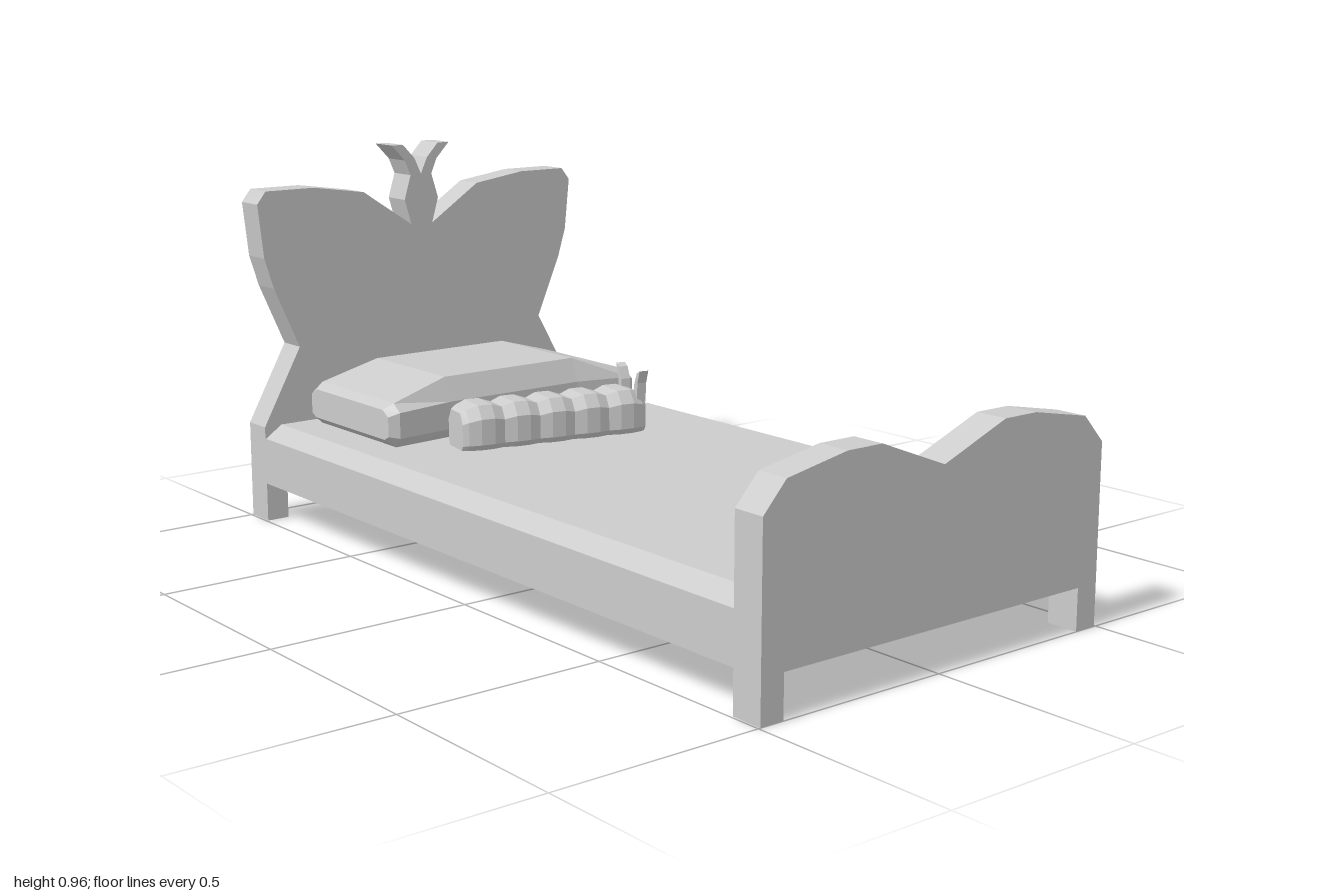
import * as THREE from 'three';

const grey = new THREE.MeshStandardMaterial({ color: 0xcccccc });
grey.name = 'plain grey';

// Closed skin through rings of points, anticlockwise seen from the last ring, with flat facets
function loft(rings) {
  const pos = [], idx = [], n = rings[0].length;
  rings.forEach(r => r.forEach(p => pos.push(...p)));
  for (let i = 0; i < rings.length - 1; i++) {
    for (let j = 0; j < n; j++) {
      const a = i * n + j, b = i * n + (j + 1) % n;
      idx.push(a, b, b + n, a, b + n, a + n);
    }
  }
  const last = (rings.length - 1) * n;
  for (let j = 1; j < n - 1; j++) {
    idx.push(0, j + 1, j);
    idx.push(last, last + j, last + j + 1);
  }
  const g = new THREE.BufferGeometry();
  g.setAttribute('position', new THREE.Float32BufferAttribute(pos, 3));
  g.setIndex(idx);
  const flat = g.toNonIndexed();
  flat.computeVertexNormals();
  return flat;
}

function add(parent, name, geometry) {
  const mesh = new THREE.Mesh(geometry, grey);
  mesh.name = name;
  parent.add(mesh);
  return mesh;
}

// Symmetric board cut from half an outline [z, y], standing across the bed
function board(half, x) {
  const mirrored = half.filter(p => p[0] > 0).reverse().map(([z, y]) => [-z, y]);
  const shape = new THREE.Shape([...half, ...mirrored].map(p => new THREE.Vector2(...p)));
  const g = new THREE.ExtrudeGeometry(shape, { depth: 0.08, bevelEnabled: false });
  return g.rotateY(Math.PI / 2).translate(x, 0, 0);
}

const leg = [[0.435, 0.1], [0.435, 0], [0.495, 0]];

// Soft rectangular section of the pillow
function pillowRing(z, w, y0, y1, y2, y3) {
  const side = [[0.9, y0], [1, y1], [1, y2], [0.86, y3]];
  return [
    ...side.map(([k, y]) => [w * k, y, z]),
    ...side.slice().reverse().map(([k, y]) => [-w * k, y, z]),
  ];
}

// Section of the toy, with rounded upper corners and a flat base
function toyRing(z, w, h) {
  const side = [[0.8, 0], [1, 0.15], [1, 0.72], [0.65, 1]];
  return [
    ...side.map(([k, t]) => [w * k, t * h, z]),
    ...side.slice().reverse().map(([k, t]) => [-w * k, t * h, z]),
  ];
}

export function createModel() {
  const bed = new THREE.Group();
  bed.name = 'bed';

  // Butterfly headboard with feelers
  add(bed, 'headboard', board([
    ...leg, [0.495, 0.25], [0.385, 0.45], [0.455, 0.61], [0.48, 0.69], [0.495, 0.83],
    [0.47, 0.862], [0.33, 0.862], [0.18, 0.84], [0.033, 0.743], [0.053, 0.81],
    [0.033, 0.875], [0.05, 0.915], [0.09, 0.957], [0.055, 0.957], [0.02, 0.92], [0, 0.877],
  ], -1));

  // Low footboard
  add(bed, 'footboard', board([
    ...leg, [0.495, 0.42], [0.435, 0.485], [0.275, 0.515], [0.18, 0.515], [0, 0.445],
  ], 0.92));

  // Frame and bevelled mattress
  const frame = new THREE.BoxGeometry(1.84, 0.12, 0.99);
  add(bed, 'frame', frame.translate(0, 0.16, 0));
  const rect = (x, z, y) => [[-x, y, z], [x, y, z], [x, y, -z], [-x, y, -z]];
  add(bed, 'mattress', loft([rect(0.92, 0.495, 0.218), rect(0.905, 0.455, 0.255)]));

  // Pillow, with ends that bow inwards and flared corners
  const pillow = loft([
    pillowRing(-0.385, 0.185, 0.275, 0.285, 0.335, 0.35),
    pillowRing(-0.36, 0.2, 0.255, 0.28, 0.345, 0.365),
    pillowRing(-0.2, 0.185, 0.255, 0.28, 0.35, 0.41),
    pillowRing(0.2, 0.185, 0.255, 0.28, 0.35, 0.41),
    pillowRing(0.36, 0.2, 0.255, 0.28, 0.345, 0.365),
    pillowRing(0.385, 0.185, 0.275, 0.285, 0.335, 0.35),
  ]);
  add(bed, 'pillow', pillow).position.x = -0.68;

  // Caterpillar cushion made of five swellings
  const toy = new THREE.Group();
  toy.name = 'caterpillarCushion';
  toy.position.set(-0.352, 0.253, 0);
  toy.rotation.y = -0.2;
  bed.add(toy);
  const rings = [toyRing(-0.253, 0.045, 0.095)];
  for (let i = 0; i < 5; i++) {
    const z = -0.24 + i * 0.096;
    rings.push(toyRing(z, 0.055, 0.103), toyRing(z + 0.03, 0.065, 0.113), toyRing(z + 0.066, 0.065, 0.113));
  }
  rings.push(toyRing(0.24, 0.055, 0.103), toyRing(0.253, 0.045, 0.095));
  add(toy, 'caterpillarBody', loft(rings));

  // Feelers at the head end
  for (const s of [-1, 1]) {
    const pts = [[0.034, 0.08], [0.05, 0.08], [0.054, 0.13], [0.066, 0.163], [0.05, 0.155], [0.036, 0.125]];
    const outline = new THREE.Shape(pts.map(([x, y]) => new THREE.Vector2(s * x, y)));
    const feeler = new THREE.ExtrudeGeometry(outline, { depth: 0.025, bevelEnabled: false });
    add(toy, s < 0 ? 'rightFeeler' : 'leftFeeler', feeler.translate(0, 0, -0.25));
  }
  return bed;
}
